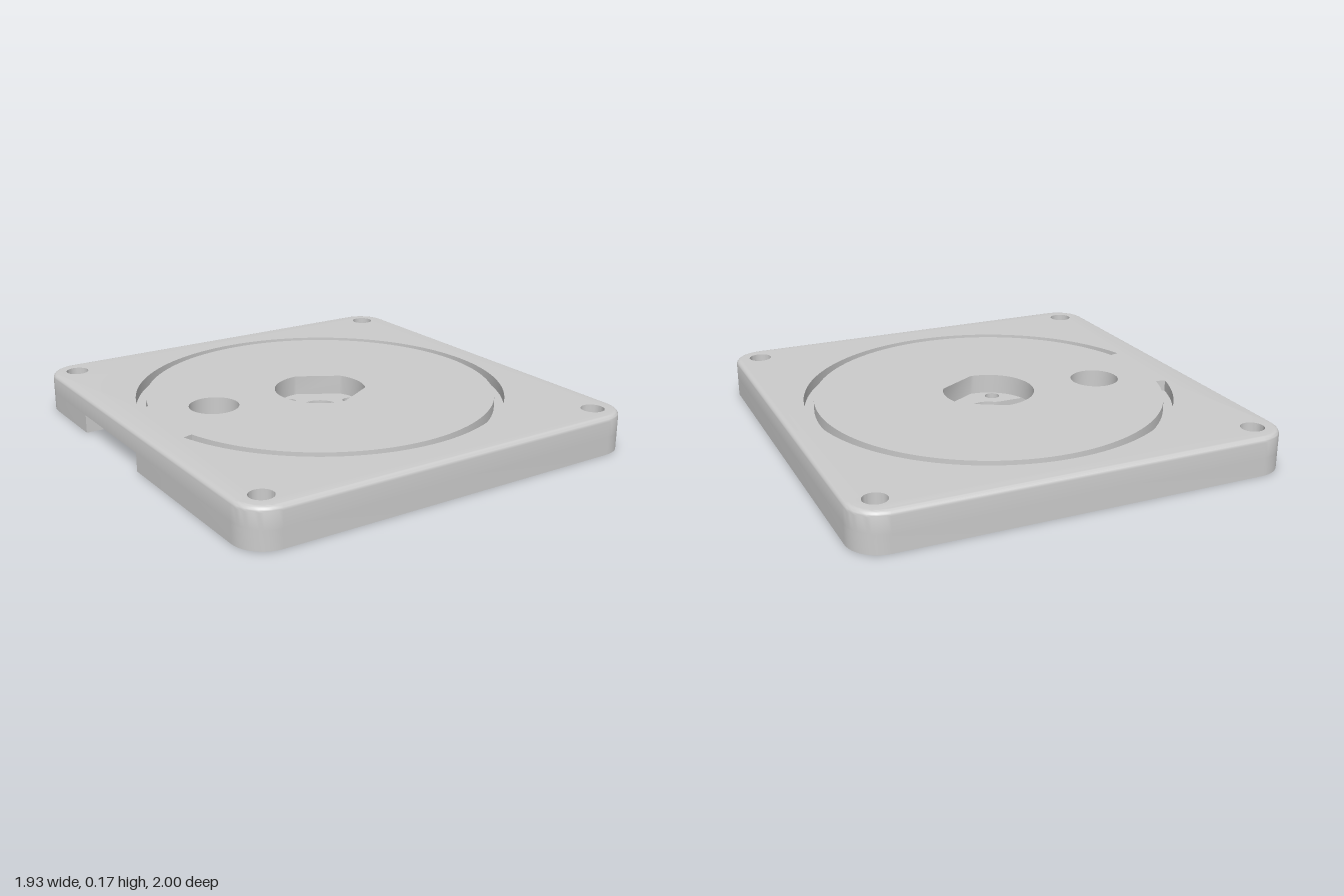
import * as THREE from 'three';
import { mergeGeometries, toCreasedNormals } from 'three/addons/utils/BufferGeometryUtils.js';

const PI = Math.PI;
const HALF_X = 0.965, HALF_Z = 1, CORNER = 0.14, FILLET = 0.022;
const TOP = 0.175, ROOF = 0.085, GROOVE_FLOOR = 0.125, SEAT = 0.045;
const CX = -0.005, CZ = -0.013;           // shared centre of groove, recess and keyhole
const SLOT = 0.06;                        // half width of the slot

// Plan points are Vector2(x, z)
const P = (x, z) => new THREE.Vector2(x, z);

function arc(x, z, r, a0, a1, n) {
  return Array.from({ length: n + 1 }, (_, i) => {
    const a = a0 + (a1 - a0) * i / n;
    return P(x + r * Math.cos(a), z + r * Math.sin(a));
  });
}

const circle = (x, z, r, n = 40) => arc(x, z, r, 0, 2 * PI, n).slice(0, n);

// Rounded plate outline; the closing edge lies on the -x side
function outline(inset) {
  const r = CORNER - inset, x = HALF_X - CORNER, z = HALF_Z - CORNER;
  return [[-1, -1, PI], [1, -1, 1.5 * PI], [1, 1, 0], [-1, 1, PI / 2]]
    .flatMap(([sx, sz, a]) => arc(sx * x, sz * z, r, a, a + PI / 2, 12));
}

// Band between two loops of equal length; holes face inwards
function band(loopA, yA, loopB, yB, hole = false) {
  const pos = [];
  const flip = THREE.ShapeUtils.isClockWise(loopA) !== hole;
  loopA.forEach((a, i) => {
    const j = (i + 1) % loopA.length;
    const a0 = [a.x, yA, a.y], a1 = [loopB[i].x, yB, loopB[i].y];
    const b0 = [loopA[j].x, yA, loopA[j].y], b1 = [loopB[j].x, yB, loopB[j].y];
    pos.push(...(flip ? [a0, b1, a1, a0, b0, b1] : [a0, a1, b1, a0, b1, b0]).flat());
  });
  const g = new THREE.BufferGeometry();
  g.setAttribute('position', new THREE.Float32BufferAttribute(pos, 3));
  return g;
}

const wall = (loop, y0, y1, hole) => band(loop, y0, loop, y1, hole);

// Flat face at height y, with holes
function cap(loop, y, up, holes = []) {
  const shape = new THREE.Shape(loop);
  shape.holes = holes.map(h => new THREE.Path(h));
  const indexed = new THREE.ShapeGeometry(shape);
  if (up) indexed.index.array.reverse();
  const g = indexed.toNonIndexed();
  g.deleteAttribute('uv');
  g.deleteAttribute('normal');
  return g.rotateX(PI / 2).translate(0, y, 0);
}

export function createModel() {
  const model = new THREE.Group();
  const material = new THREE.MeshStandardMaterial({ color: 0xcccccc, side: THREE.DoubleSide });
  const add = (name, ...parts) => {
    const mesh = new THREE.Mesh(toCreasedNormals(mergeGeometries(parts), 0.6), material);
    mesh.name = name;
    model.add(mesh);
  };

  // Keyhole edge: filleted throat on the +z side, round the circle, mirrored back
  const KEY_R = 0.088, THROAT = 0.06;
  const fz = SLOT + THROAT, fx = -Math.sqrt((KEY_R + THROAT) ** 2 - fz * fz);
  const meet = Math.atan2(fz, fx);
  const half = [
    ...arc(CX + fx, CZ + fz, THROAT, -PI / 2, meet - PI, 8),
    ...arc(CX, CZ, KEY_R, meet, 0, 20).slice(1),
  ];
  const keyhole = [...half, ...half.slice(0, -1).reverse().map(p => P(p.x, 2 * CZ - p.y))];

  // Underside outline: plate edge, cut by the pocket and the slot to the keyhole
  const POCKET_X = -0.41, POCKET_Z = -0.5;
  const underside = [
    ...outline(0),
    P(-HALF_X, CZ + SLOT), ...keyhole,
    P(POCKET_X, CZ - SLOT), P(POCKET_X, POCKET_Z), P(-HALF_X, POCKET_Z),
  ];

  // Central recess: a circle with two flats
  const R = 0.21, mouth = PI - Math.asin(SLOT / R);
  const recess = [...arc(CX, CZ, R, PI / 2, 1.5 * PI, 40), ...arc(CX, CZ, R, -PI / 6, PI / 6, 14)];
  const recessFloor = [
    ...arc(CX, CZ, R, mouth, PI / 2, 18),
    ...arc(CX, CZ, R, PI / 6, -PI / 6, 14),
    ...arc(CX, CZ, R, -PI / 2, -mouth, 18),
    ...[...keyhole].reverse(),
  ];

  // Round groove, open towards -x
  const gap = PI - 0.265;
  const groove = [
    ...arc(CX, CZ, 0.845, -gap, gap, 110),
    ...arc(CX, CZ, 0.8, gap, -gap, 110),
  ];

  // Holes
  const corners = [[1, 1], [1, -1], [-1, -1], [-1, 1]].map(([x, z]) => circle(x * 0.845, z * 0.88, 0.052));
  const cable = circle(-0.53, -0.07, 0.112, 56);
  const screwAt = [0, 1, 2].map(i => {
    const a = i * 2 * PI / 3;
    return [CX + 0.167 * Math.cos(a), CZ + 0.167 * Math.sin(a)];
  });
  const screws = screwAt.map(([x, z]) => circle(x, z, 0.034));
  const screwSeats = screwAt.map(([x, z]) => circle(x, z, 0.058));

  // Plate: upper sides, rounded top edge and top face
  const shell = [wall(outline(0), ROOF, TOP - FILLET)];
  const STEPS = 6;
  const ring = i => {
    const a = i / STEPS * PI / 2;
    return [outline(FILLET * (1 - Math.cos(a))), TOP - FILLET + FILLET * Math.sin(a)];
  };
  for (let i = 0; i < STEPS; i++) shell.push(band(...ring(i), ...ring(i + 1)));
  shell.push(cap(outline(FILLET), TOP, true, [...corners, cable, recess, groove]));
  add('plateTop', ...shell);

  // Lower sides with the pocket, slot and keyhole walls, and the bottom face
  add('plateBase', wall(underside, 0, ROOF), cap(underside, 0, false, [...corners, ...screwSeats]));

  // Pocket and slot ceiling
  add('pocketRoof', cap([
    P(-HALF_X, CZ + SLOT), P(-HALF_X, POCKET_Z), P(POCKET_X, POCKET_Z), P(POCKET_X, CZ - SLOT),
    ...arc(CX, CZ, R, 2 * PI - mouth, mouth, 10),
  ], ROOF, false, [cable]));

  add('centralRecess', wall(recess, ROOF, TOP, true), cap(recessFloor, ROOF, true, screws));
  add('ringGroove', wall(groove, GROOVE_FLOOR, TOP, true), cap(groove, GROOVE_FLOOR, true));
  add('cableHole', wall(cable, ROOF, TOP, true));
  corners.forEach(c => add('cornerHole', wall(c, 0, TOP, true)));

  // Screw holes, widened from below
  screws.forEach((s, i) => add('screwHole',
    wall(screwSeats[i], 0, SEAT, true),
    cap(screwSeats[i], SEAT, false, [s]),
    wall(s, SEAT, ROOF, true)));

  return model;
}
